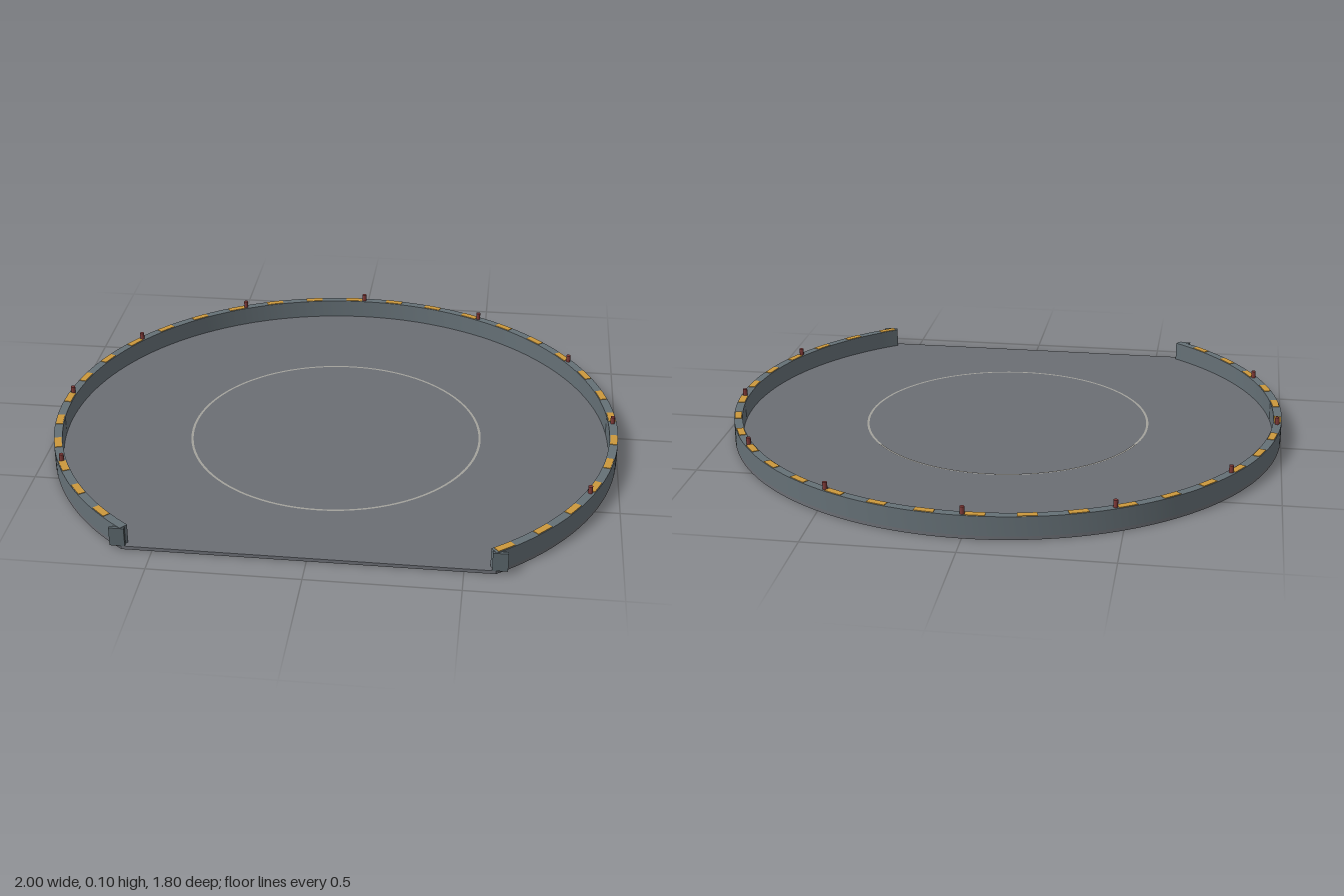
import * as THREE from 'three';
import { toCreasedNormals } from 'three/addons/utils/BufferGeometryUtils.js';

const CENTRE_Z = 0.1;
const HALF_ARC = Math.PI - Math.atan2(0.6, 0.8); // angle from the back to the cut front edge
const WALL_TOP = 0.08;
const FLOOR_TOP = 0.012;

function material(name, color) {
  const m = new THREE.MeshStandardMaterial({ color });
  m.name = name;
  return m;
}

// Arc band between two radii; angles are measured from the back towards +x
function bandShape(inner, outer, from, to) {
  const a = Math.PI / 2 - to, b = Math.PI / 2 - from;
  const shape = new THREE.Shape();
  shape.absarc(0, 0, outer, a, b, false);
  shape.absarc(0, 0, inner, b, a, true);
  shape.closePath();
  return shape;
}

// Lay a flat outline on the ground and raise it from y by height
function slab(shape, y, height, segments) {
  const g = new THREE.ExtrudeGeometry(shape, { depth: height, bevelEnabled: false, curveSegments: segments });
  g.rotateX(-Math.PI / 2);
  g.translate(0, y, CENTRE_Z);
  return toCreasedNormals(g, 0.5);
}

export function createModel() {
  const model = new THREE.Group();
  model.name = 'roundPlatform';

  const floorMat = material('floor grey', 0x6b6e74);
  const wallMat = material('wall grey', 0x657076);
  const postMat = material('post grey', 0x596469);
  const stripeMat = material('stripe amber', 0xcc983c);
  const lightMat = material('lamp red', 0x803a38);
  const ringMat = material('ring pale grey', 0xa3a29b);

  const add = (name, geometry, mat, parent = model) => {
    const mesh = new THREE.Mesh(geometry, mat);
    mesh.name = name;
    parent.add(mesh);
    return mesh;
  };

  // Disc floor with a straight front edge
  const disc = new THREE.Shape();
  disc.absarc(0, 0, 1, Math.PI / 2 - HALF_ARC, Math.PI / 2 + HALF_ARC, false);
  disc.closePath();
  add('floor', slab(disc, 0, FLOOR_TOP, 96), floorMat);

  // Low wall, open at the front
  add('wall', slab(bandShape(0.97, 1, -HALF_ARC, HALF_ARC), FLOOR_TOP, WALL_TOP - FLOOR_TOP, 96), wallMat);

  // Painted ring in the middle of the floor
  const ring = new THREE.RingGeometry(0.512, 0.52, 96);
  ring.rotateX(-Math.PI / 2);
  add('floorRing', ring, ringMat).position.set(0, FLOOR_TOP + 0.002, CENTRE_Z);

  // Warning dashes along the top of the wall
  const stripes = new THREE.Group();
  stripes.name = 'wallStripes';
  model.add(stripes);
  const count = 30, step = (2 * HALF_ARC) / count;
  for (let i = 0; i < count; i++) {
    const mid = -HALF_ARC + (i + 0.75) * step;
    add('stripe', slab(bandShape(0.973, 0.997, mid - 0.033, mid + 0.033), WALL_TOP, 0.002, 4), stripeMat, stripes);
  }

  // Small lamps standing on the wall
  const lamps = new THREE.Group();
  lamps.name = 'wallLamps';
  model.add(lamps);
  const lampGeo = new THREE.CylinderGeometry(0.008, 0.008, 0.025, 10);
  for (let i = -4; i <= 4; i++) {
    const a = i * 0.5;
    add('lamp', lampGeo, lightMat, lamps)
      .position.set(0.985 * Math.sin(a), WALL_TOP + 0.0125, CENTRE_Z - 0.985 * Math.cos(a));
  }

  // Thin end posts at both sides of the front opening
  for (const side of [-1, 1]) {
    add(side > 0 ? 'leftPost' : 'rightPost', new THREE.BoxGeometry(0.05, 0.066, 0.012), postMat)
      .position.set(side * 0.613, FLOOR_TOP + 0.033, 0.894);
  }
  return model;
}
